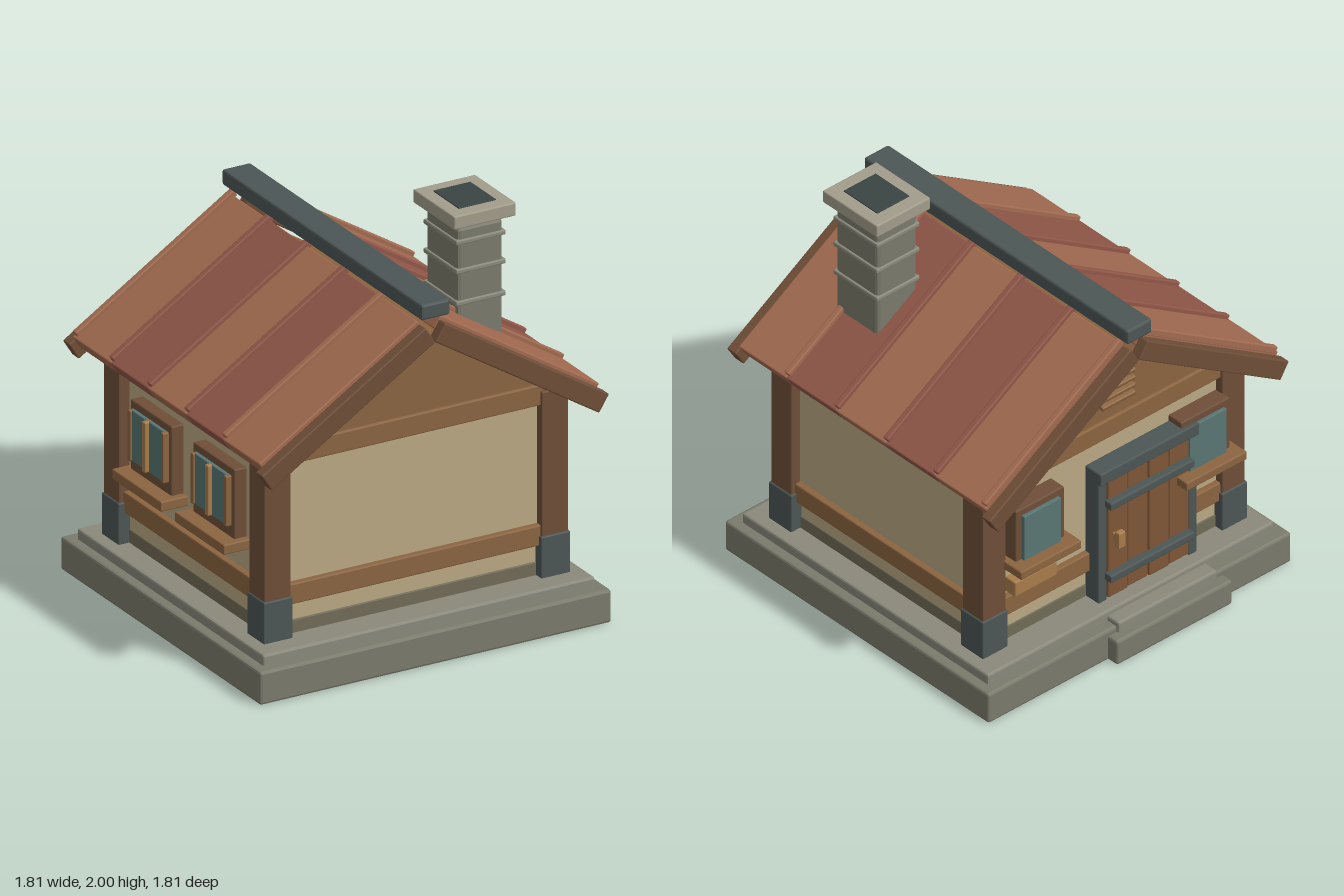
import * as THREE from 'three';
import { RoundedBoxGeometry } from 'three/addons/geometries/RoundedBoxGeometry.js';

const paint = (color) => new THREE.MeshStandardMaterial({ color, flatShading: true });
const M = {
  stone: paint(0x7a7a6c), stoneLight: paint(0x8a897b), cap: paint(0xa29c8a), footing: paint(0x706b56),
  metal: paint(0x4c5655), post: paint(0x6e4e38), beam: paint(0x8b6440), plaster: paint(0xbaa884),
  roofLight: paint(0xa26b50), roofDark: paint(0x905748), glass: paint(0x587572),
  door: paint(0x7d5636), oak: paint(0xa87c4a), dark: paint(0x3a4443),
};
const CZ = 0.03; // depth centre of the house

// Bevelled block given by its min/max extents
function block(parent, name, mat, [x0, x1], [y0, y1], [z0, z1], bevel = 0.006) {
  const w = x1 - x0, h = y1 - y0, d = z1 - z0;
  const r = Math.min(bevel, w / 4, h / 4, d / 4);
  const mesh = new THREE.Mesh(new RoundedBoxGeometry(w, h, d, 1, r), mat);
  mesh.position.set((x0 + x1) / 2, (y0 + y1) / 2, (z0 + z1) / 2);
  mesh.name = name;
  parent.add(mesh);
  return mesh;
}

function group(parent, name) {
  const g = new THREE.Group();
  g.name = name;
  parent.add(g);
  return g;
}

// Window facing local +z, wall plane at z = 0
function makeWindow(parent, name, x, { w, y0, sill, mullion }) {
  const g = group(parent, name);
  g.position.x = x;
  const h = w / 2, t = 0.035;
  block(g, 'windowFrame', M.post, [-h, h], [y0, 0.96], [-0.03, 0.07]);
  block(g, 'windowPane', M.glass, [-h + t, h - t], [0.68, 0.925], [0, 0.088], 0.003);
  block(g, 'windowSill', M.beam, [-h - 0.035, h + 0.035], sill, [-0.02, 0.145]);
  if (mullion) {
    block(g, 'windowMullion', M.oak, [-0.015, 0.015], [0.68, 0.925], [0.05, 0.11]);
    for (const s of [-1, 1])
      block(g, 'windowCasing', M.beam, [s * (h - t) - 0.012, s * (h - t) + 0.012], [0.68, 0.925], [0.05, 0.1]);
  }
}

function addBase(root) {
  const g = group(root, 'base');
  block(g, 'plinth', M.stone, [-0.905, 0.905], [0, 0.16], [-0.845, 0.905], 0.012);
  block(g, 'platform', M.stoneLight, [-0.855, 0.855], [0.15, 0.21], [-0.785, 0.845], 0.01);
  block(g, 'lowerStep', M.stone, [-0.5, 0.19], [0, 0.13], [-0.905, -0.8], 0.012);
  block(g, 'upperStep', M.stoneLight, [-0.45, 0.14], [0.1, 0.185], [-0.86, -0.75], 0.01);
}

function addWalls(root) {
  const g = group(root, 'walls');
  block(g, 'plasterWalls', M.plaster, [-0.73, 0.73], [0.2, 1.09], [CZ - 0.66, CZ + 0.66]);
  block(g, 'footing', M.footing, [-0.735, 0.735], [0.2, 0.275], [CZ - 0.665, CZ + 0.665]);
  // Corner posts with metal boots
  for (const sx of [-1, 1]) for (const sz of [-1, 1]) {
    const x = sx * 0.715, z = CZ + sz * 0.636;
    block(g, 'cornerPost', M.post, [x - 0.068, x + 0.068], [0.3, 1.11], [z - 0.068, z + 0.068]);
    block(g, 'postBoot', M.metal, [x - 0.075, x + 0.075], [0.205, 0.41], [z - 0.075, z + 0.075]);
  }
  // Horizontal beams on all four sides
  for (const s of [-1, 1]) for (const [y0, y1] of [[0.36, 0.46], [1.04, 1.14]]) {
    const z = CZ + s * 0.66, x = s * 0.73;
    block(g, 'endBeam', M.beam, [-0.66, 0.66], [y0, y1], [z - 0.03, z + 0.03]);
    block(g, 'sideBeam', M.beam, [x - 0.03, x + 0.03], [y0, Math.min(y1, 1.11)], [CZ - 0.58, CZ + 0.58]);
  }
  // Timber gables
  const tri = new THREE.Shape([[-0.74, 1.09], [0.74, 1.09], [0, 1.565]].map((p) => new THREE.Vector2(...p)));
  const geo = new THREE.ExtrudeGeometry(tri, { depth: 1.35, bevelEnabled: false });
  const gable = new THREE.Mesh(geo.translate(0, 0, CZ - 0.675), M.beam);
  gable.name = 'gable';
  g.add(gable);
}

function addRoof(root) {
  const roof = group(root, 'roof');
  const seams = [-0.79, -0.456, -0.127, 0.2, 0.53, 0.845];
  for (const s of [-1, 1]) {
    // Local +x runs down the slope, +y points out of the roof
    const g = group(roof, s > 0 ? 'leftRoofSlope' : 'rightRoofSlope');
    const slope = Math.atan(0.63);
    g.position.y = 1.56;
    g.rotation.z = -s * slope;
    const run = (a, b) => (s > 0 ? [a, b] : [-b, -a]);
    for (let i = 0; i < 5; i++) {
      block(g, 'roofPanel', i % 2 ? M.roofDark : M.roofLight, run(0, 0.965), [0.046, 0.115], [seams[i], seams[i + 1]]);
    }
    for (const z of [...seams.slice(1, 5), -0.775])
      block(g, 'roofBatten', z < -0.7 || z > 0.4 ? M.roofLight : M.roofDark, run(-0.015, 0.95), [0.1, 0.137], [z - 0.016, z + 0.016]);
    for (const z of [-0.813, 0.873])
      block(g, 'bargeBoard', M.post, run(0, 0.998), [0, 0.096], [z - 0.029, z + 0.029]);
  }
  block(roof, 'ridgeCap', M.metal, [-0.073, 0.073], [1.68, 1.755], [-0.845, 0.905], 0.01);
}

function addChimney(root) {
  const g = group(root, 'chimney');
  g.position.set(0.43, 0, 0.425);
  block(g, 'chimneyShaft', M.stone, [-0.118, 0.118], [1.3, 1.915], [-0.138, 0.138], 0.018);
  block(g, 'chimneyNeck', M.stone, [-0.1, 0.1], [1.9, 1.94], [-0.12, 0.12]);
  for (const y of [1.55, 1.705, 1.845])
    block(g, 'chimneyBand', M.stoneLight, [-0.128, 0.128], [y - 0.012, y + 0.012], [-0.146, 0.146]);
  block(g, 'chimneyCap', M.cap, [-0.16, 0.16], [1.93, 1.995], [-0.18, 0.18]);
  block(g, 'flue', M.dark, [-0.096, 0.096], [1.96, 2], [-0.112, 0.112], 0.002);
}

function addDoor(root) {
  const g = group(root, 'door');
  for (let i = 0; i < 4; i++) {
    const x = 0.085 - i * 0.123;
    block(g, 'doorPlank', M.door, [x - 0.118, x], [0.225, 0.87], [-0.73 + (i % 2) * 0.006, -0.64]);
  }
  block(g, 'doorBacking', M.dark, [-0.41, 0.09], [0.22, 0.88], [-0.7, -0.63]);
  for (const x of [0.11, -0.43])
    block(g, 'doorJamb', M.metal, [x - 0.025, x + 0.025], [0.21, 0.88], [-0.72, -0.63]);
  block(g, 'doorLintel', M.metal, [-0.455, 0.135], [0.865, 0.93], [-0.735, -0.63]);
  for (const y of [0.35, 0.75])
    block(g, 'doorStrap', M.metal, [-0.4, 0.1], [y - 0.02, y + 0.02], [-0.765, -0.72]);
  block(g, 'doorHandle', M.oak, [0.03, 0.07], [0.515, 0.6], [-0.785, -0.755]);
  block(g, 'handleStem', M.oak, [0.04, 0.06], [0.54, 0.575], [-0.76, -0.72]);
}

function addOpenings(root) {
  // Back wall: plain windows, a patch board and the gable vent
  const back = group(root, 'backOpenings');
  back.position.z = -0.645;
  back.rotation.y = Math.PI;
  for (const x of [-0.48, 0.51])
    makeWindow(back, 'backWindow', x, { w: 0.29, y0: 0.66, sill: [0.64, 0.685] });
  block(back, 'patchBoard', M.oak, [-0.61, -0.36], [0.47, 0.55], [-0.03, 0.05]);
  block(back, 'ventBacking', M.dark, [-0.085, 0.085], [1.25, 1.41], [-0.02, 0.006]);
  for (let i = 0; i < 4; i++) {
    const y = 1.265 + i * 0.042;
    const slat = block(back, 'ventSlat', M.beam, [-0.1, 0.1], [y - 0.011, y + 0.011], [0.005, 0.065]);
    slat.rotation.x = 0.25;
  }
  // Right wall: pair of divided windows
  const side = group(root, 'sideOpenings');
  side.position.set(-0.722, 0, CZ);
  side.rotation.y = -Math.PI / 2;
  for (const x of [-0.275, 0.275])
    makeWindow(side, 'sideWindow', x, { w: 0.36, y0: 0.6, sill: [0.575, 0.625], mullion: true });
}

export function createModel() {
  const root = new THREE.Group();
  root.name = 'cottage';
  for (const add of [addBase, addWalls, addRoof, addChimney, addDoor, addOpenings]) add(root);
  return root;
}
